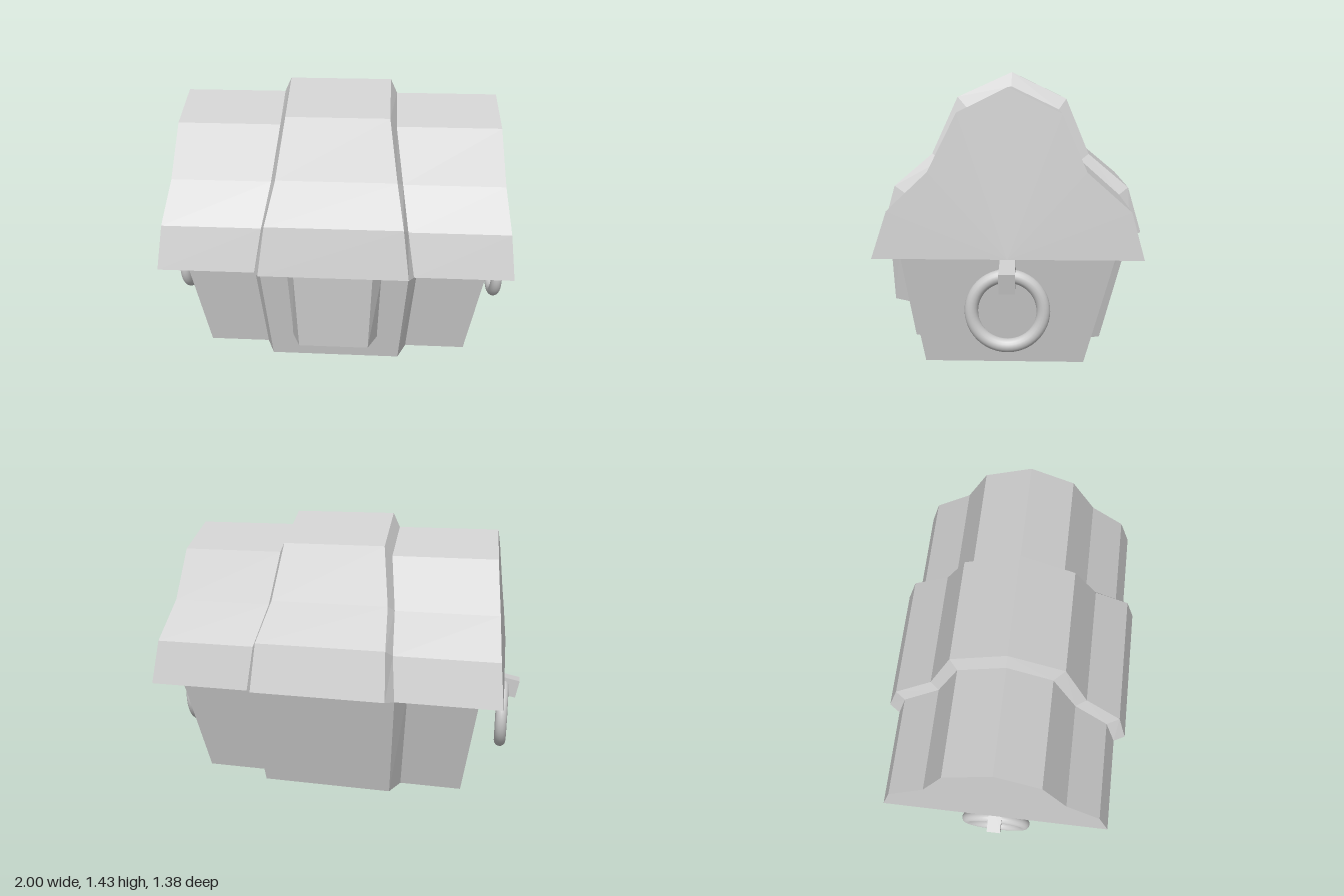
import * as THREE from 'three';

const flat = new THREE.MeshStandardMaterial({ color: 0xcccccc, flatShading: true });
const smooth = new THREE.MeshStandardMaterial({ color: 0xcccccc });

// Skins cross-sections ordered from -x to +x and closes both ends with fans.
function loft(sections) {
  const pos = [];
  const tri = (...pts) => pts.forEach((p) => pos.push(...p));
  const n = sections[0].length;
  for (let i = 0; i < sections.length - 1; i++) {
    for (let j = 0; j < n; j++) {
      const k = (j + 1) % n;
      const a = sections[i][j], b = sections[i][k];
      const c = sections[i + 1][k], d = sections[i + 1][j];
      tri(a, d, c);
      tri(a, c, b);
    }
  }
  const first = sections[0], last = sections[sections.length - 1];
  const hub = (s) => s[0].map((v, i) => (v + s[n - 1][i]) / 2);
  for (let j = 0; j < n - 1; j++) {
    tri(hub(first), first[j], first[j + 1]);
    tri(hub(last), last[j + 1], last[j]);
  }
  const geo = new THREE.BufferGeometry();
  geo.setAttribute('position', new THREE.Float32BufferAttribute(pos, 3));
  geo.computeVertexNormals();
  return geo;
}

// Three half sections (end, band foot, band face) mirrored into a full skin.
// Each half section is a [z, y] profile with a half width per point.
function bandedShell(halves) {
  const section = ([profile, widths], side) =>
    profile.map(([z, y], i) => [side * widths[i], y, z]);
  return loft([
    ...halves.map((h) => section(h, -1)),
    ...[...halves].reverse().map((h) => section(h, 1)),
  ]);
}

function add(parent, name, geometry, material = flat) {
  const mesh = new THREE.Mesh(geometry, material);
  mesh.name = name;
  parent.add(mesh);
  return mesh;
}

export function createModel() {
  const chest = new THREE.Group();
  chest.name = 'chest';

  // Lid: gabled profile with a raised central band
  const lidSide = [[0.63, 0.57], [0.56, 0.79], [0.37, 0.97], [0.235, 1.24], [0, 1.355],
    [-0.25, 1.235], [-0.365, 0.97], [-0.57, 0.79], [-0.63, 0.57]];
  const lidBand = [[0.69, 0.585], [0.625, 0.83], [0.425, 1.0], [0.29, 1.3], [0, 1.43],
    [-0.29, 1.29], [-0.41, 1.0], [-0.62, 0.825], [-0.69, 0.585]];
  const lidEnd = lidSide.map(([, y]) => 0.915 - (y - 0.57) * 0.1);
  const footWidth = [0.41, 0.375, 0.345, 0.305, 0.305, 0.305, 0.34, 0.365, 0.385];
  const faceWidth = [0.382, 0.35, 0.315, 0.27, 0.27, 0.27, 0.31, 0.335, 0.347];
  add(chest, 'lid', bandedShell([
    [lidSide, lidEnd], [lidSide, footWidth], [lidBand, faceWidth],
  ]));

  // Body: tapered box with the same central band
  const bodySide = [[-0.515, 0.57], [-0.37, 0], [0.415, 0], [0.51, 0.57]];
  const bodyBand = [[-0.625, 0.57], [-0.48, 0], [0.525, 0], [0.62, 0.57]];
  add(chest, 'body', bandedShell([
    [bodySide, [0.8, 0.715, 0.715, 0.8]],
    [bodySide, [0.435, 0.39, 0.39, 0.435]],
    [bodyBand, [0.385, 0.345, 0.345, 0.385]],
  ]));

  // Latch plate: a box narrowed towards its front and its bottom
  const latch = new THREE.BoxGeometry(1, 1, 1);
  const p = latch.attributes.position;
  for (let i = 0; i < p.count; i++) {
    const top = p.getY(i) > 0, front = p.getZ(i) > 0;
    const half = (front ? 0.2 : 0.25) - (top ? 0 : 0.018);
    const z = front ? (top ? 0.69 : 0.667) : (top ? 0.61 : 0.54);
    p.setXYZ(i, Math.sign(p.getX(i)) * half, top ? 0.585 : (front ? 0.155 : 0.145), z);
  }
  latch.computeVertexNormals();
  add(chest, 'latch', latch);

  // Handles: a ring hanging from a tilted peg on each end
  for (const side of [-1, 1]) {
    const handle = new THREE.Group();
    handle.name = side > 0 ? 'leftHandle' : 'rightHandle';
    const peg = add(handle, 'peg', new THREE.BoxGeometry(0.22, 0.1, 0.075));
    peg.position.set(side * 0.882, 0.495, 0);
    peg.rotation.z = -side * 0.2;
    const ring = add(handle, 'ring', new THREE.TorusGeometry(0.168, 0.032, 16, 48), smooth);
    ring.position.set(side * 0.91, 0.325, 0);
    ring.rotation.y = Math.PI / 2;
    chest.add(handle);
  }
  return chest;
}
